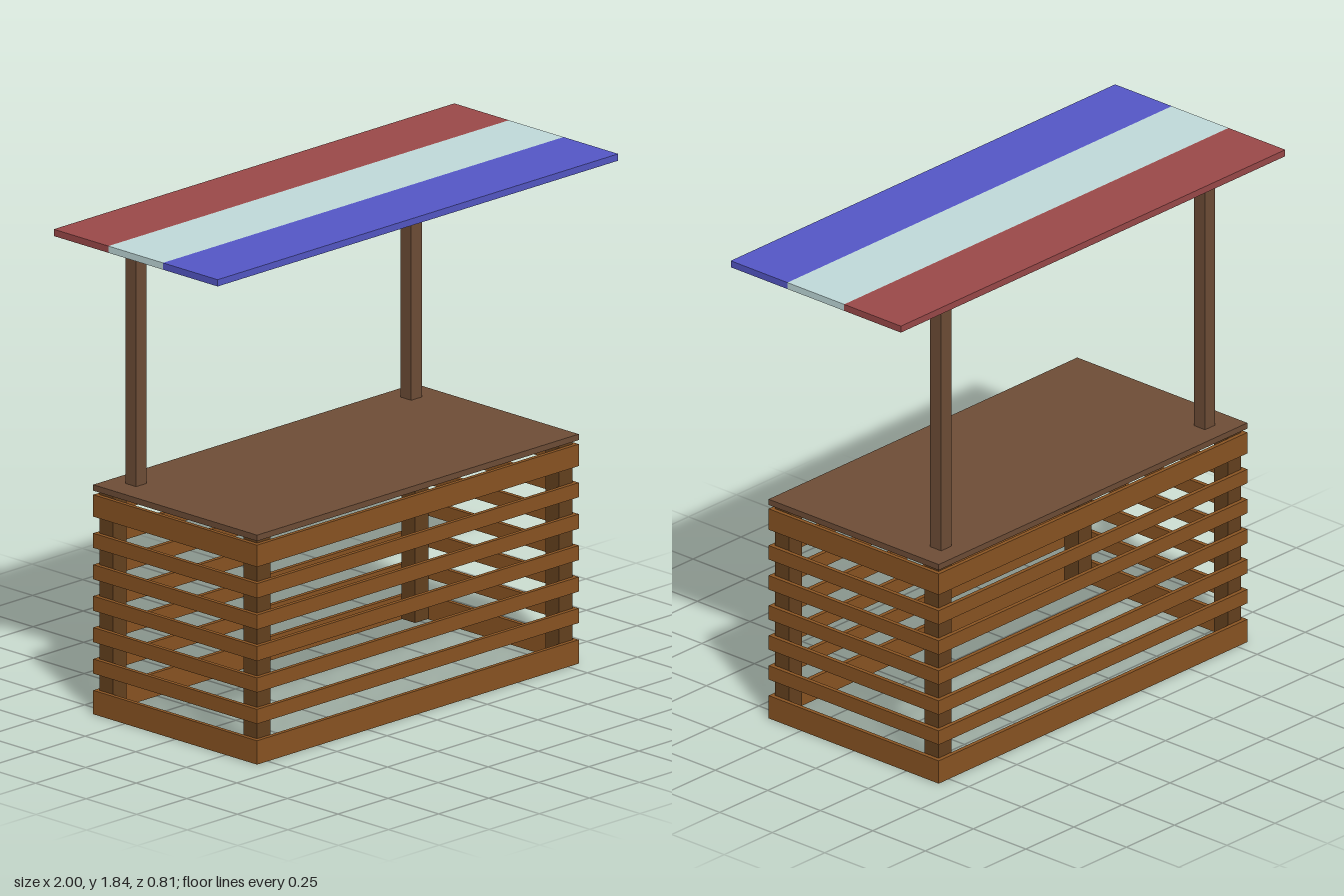
import * as THREE from 'three';

export function createModel() {
  const stall = new THREE.Group();
  stall.name = 'marketStall';

  const mat = (color) => new THREE.MeshStandardMaterial({ color, flatShading: true });
  const slatWood = mat(0x8b5523);
  const legWood = mat(0x66421f);
  const darkWood = mat(0x6f4e37);

  // Box given by its lower and upper bounds on each axis
  function board(name, material, [x0, x1], [y0, y1], [z0, z1], parent = stall) {
    const mesh = new THREE.Mesh(new THREE.BoxGeometry(x1 - x0, y1 - y0, z1 - z0), material);
    mesh.position.set((x0 + x1) / 2, (y0 + y1) / 2, (z0 + z1) / 2);
    mesh.name = name;
    parent.add(mesh);
  }
  // Range from a to b, mirrored to the negative side when s is -1
  const side = (s, a, b) => (s > 0 ? [a, b] : [-b, -a]);

  const W = 0.803, D = 0.405, T = 0.016;

  // Corner legs inside the slats
  for (const sx of [1, -1])
    for (const sz of [1, -1])
      board('cornerLeg', legWood, side(sx, 0.72, W - T), [0.002, 0.82], side(sz, 0.322, D - T));

  // Slat rows: wide bottom and top boards, five narrow ones between
  const rows = [[0, 0.088], [0.73, 0.811]];
  for (let i = 0; i < 5; i++) rows.push([0.15 + i * 0.1162, 0.204 + i * 0.1162]);
  for (const row of rows) {
    for (const s of [1, -1]) {
      board(s > 0 ? 'frontSlat' : 'backSlat', slatWood, [-W, W], row, side(s, D - T, D));
      board(s > 0 ? 'leftSlat' : 'rightSlat', slatWood, side(s, W - T, W), row, [T - D, D - T]);
    }
  }

  // Counter top
  board('counterTop', darkWood, [-W, W], [0.826, 0.848], [-D, D]);

  // Two rear posts below the roof
  for (const s of [1, -1])
    board('roofPost', darkWood, side(s, 0.66, 0.713), [0.848, 1.798], [-0.334, -0.282]);

  // Striped flat roof, back to front
  const roof = new THREE.Group();
  roof.name = 'roof';
  stall.add(roof);
  [0x9c4a4a, 0xc2dcdc, 0x5558c8].forEach((color, i) => {
    const z = -D + i * 0.27;
    board('roofStripe', mat(color), [-1, 1], [1.813, 1.838], [z, z + 0.27], roof);
  });

  return stall;
}
